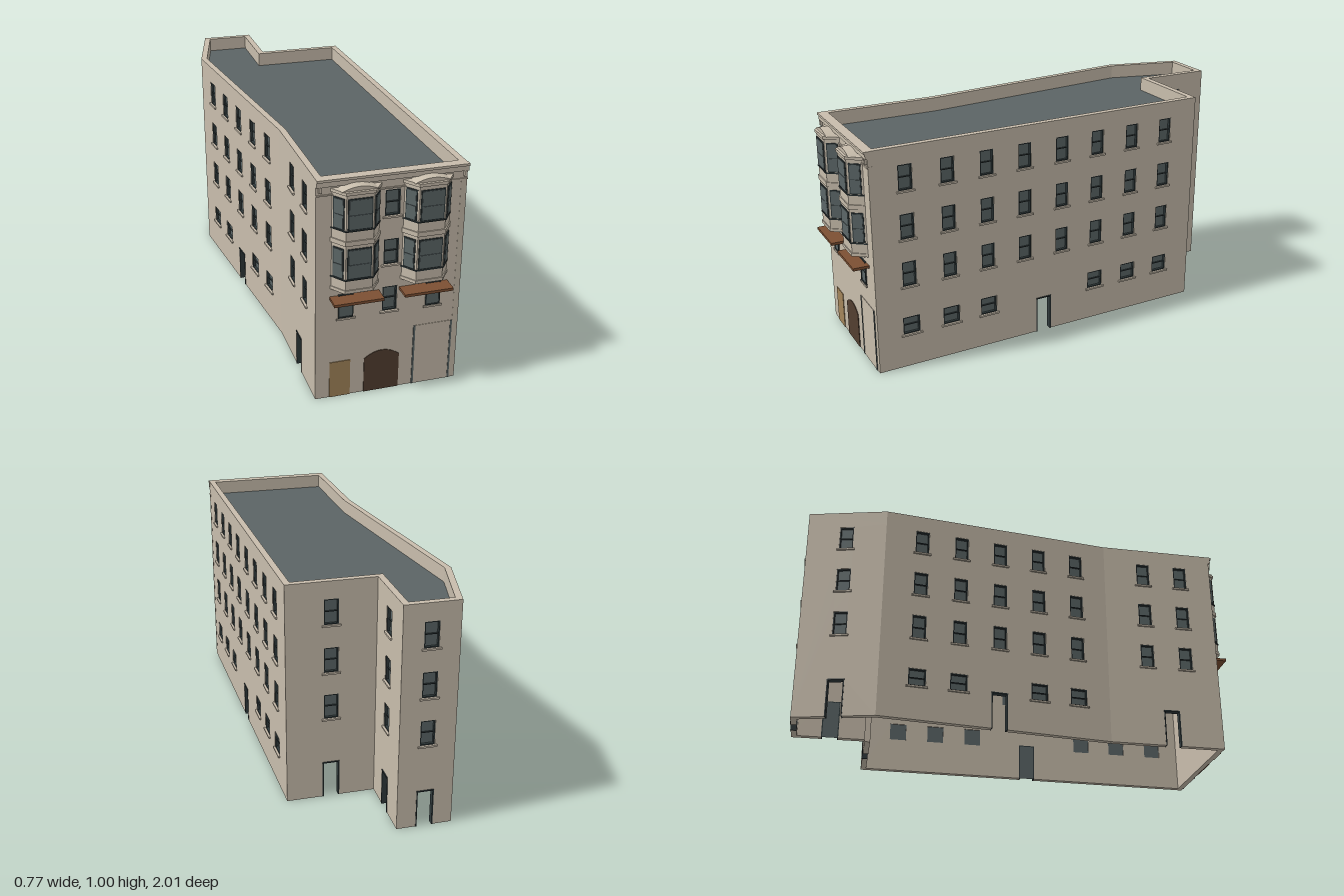
import * as THREE from 'three';

const mat = (name, color, side = THREE.FrontSide) =>
  Object.assign(new THREE.MeshStandardMaterial({ color, side }), { name });

const T = 0.025;        // wall thickness
const ROOF = 0.935;     // roof deck height
const FLOORS = [0.38, 0.595, 0.81];

export function createModel() {
  const wall = mat('stone wall', 0xc8bdac);
  const slate = mat('slate glass', 0x5b6667);
  const deck = mat('roof deck', 0x5b6465, THREE.DoubleSide);
  const dark = mat('dark frame', 0x2f393b);
  const tan = mat('tan door', 0xa3855a);
  const brown = mat('dark brown door', 0x523e30);
  const wood = mat('awning wood', 0x7d5033);

  const model = new THREE.Group();
  model.name = 'cornerBuilding';

  const add = (parent, name, geo, material) => {
    const m = new THREE.Mesh(geo, material);
    m.name = name;
    parent.add(m);
    return m;
  };
  // Box given by its lower and upper corners
  const box = (parent, name, material, x0, x1, y0, y1, z0, z1) =>
    add(parent, name, new THREE.BoxGeometry(x1 - x0, y1 - y0, z1 - z0), material)
      .position.set((x0 + x1) / 2, (y0 + y1) / 2, (z0 + z1) / 2);
  const planShape = (pts) => new THREE.Shape(pts.map(([x, z]) => new THREE.Vector2(x, -z)));
  // Horizontal slab from a plan outline
  const slab = (parent, name, material, shape, y0, y1) => {
    const g = new THREE.ExtrudeGeometry(shape, { depth: y1 - y0, bevelEnabled: false });
    g.rotateX(-Math.PI / 2).translate(0, y0, 0);
    return add(parent, name, g, material);
  };

  // Footprint corners (x, z), starting along the front
  const plan = [[-0.245, 0.93], [0.375, 0.93], [0.33, -0.68], [-0.06, -0.68],
    [-0.06, -1], [-0.3, -1], [-0.385, -0.65], [-0.25, 0.4]];
  const normal = (i) => {
    const [a, b] = [plan[i], plan[(i + 1) % plan.length]];
    const d = [b[0] - a[0], b[1] - a[1]], l = Math.hypot(...d);
    return [-d[1] / l, d[0] / l];
  };
  const inner = plan.map(([x, z], i) => {
    const m = normal((i + plan.length - 1) % plan.length), n = normal(i);
    const k = (T + 0.003) / (1 + m[0] * n[0] + m[1] * n[1]);
    return [x - k * (m[0] + n[0]), z - k * (m[1] + n[1])];
  });

  // Recessed sash window with sill, in wall coordinates
  function sashWindow(g, u, y, w, h) {
    const x0 = u - w / 2, x1 = u + w / 2, b = 0.005;
    box(g, 'windowGlass', slate, x0, x1, y, y + h, -0.02, -0.014);
    for (const x of [x0, x1 - b]) box(g, 'windowJamb', dark, x, x + b, y, y + h, -0.014, -0.002);
    for (const yy of [y, y + h - b]) box(g, 'windowRail', dark, x0, x1, yy, yy + b, -0.014, -0.002);
    box(g, 'meetingRail', dark, x0, x1, y + h / 2 - 0.002, y + h / 2 + 0.002, -0.014, -0.008);
    box(g, 'windowSill', wall, x0 - 0.009, x1 + 0.009, y - 0.008, y, -0.01, 0.008);
  }

  // Open doorway with dark jambs and a leaf facing indoors
  function doorway(g, u, w, h) {
    const x0 = u - w / 2, x1 = u + w / 2, b = 0.005;
    for (const x of [x0, x1 - b]) box(g, 'doorJamb', dark, x, x + b, 0, h, -T, 0.002);
    box(g, 'doorHead', dark, x0, x1, h - b, h, -T, 0.004);
    add(g, 'doorLeaf', new THREE.PlaneGeometry(w, h).rotateY(Math.PI).translate(u, h / 2, -T), slate);
  }

  // One wall: windows on three floors, low ground windows and doors, at fractions along it
  function buildWall(i, name, { cols = [], low = [], doors = [] }) {
    const [a, b] = [plan[i], plan[(i + 1) % plan.length]];
    const L = Math.hypot(b[0] - a[0], b[1] - a[1]);
    const g = new THREE.Group();
    g.name = name;
    g.position.set(a[0], 0, a[1]);
    g.rotation.y = Math.atan2(a[1] - b[1], b[0] - a[0]);
    const dw = 0.075, dh = 0.17;
    const s = new THREE.Shape();
    s.moveTo(0, 0);
    for (const t of doors) {
      s.lineTo(t * L - dw / 2, 0);
      s.lineTo(t * L - dw / 2, dh);
      s.lineTo(t * L + dw / 2, dh);
      s.lineTo(t * L + dw / 2, 0);
      doorway(g, t * L, dw, dh);
    }
    s.lineTo(L, 0);
    s.lineTo(L, ROOF);
    s.lineTo(0, ROOF);
    const wins = [
      ...cols.flatMap((t) => FLOORS.map((y) => [t * L, y, 0.063, 0.112])),
      ...low.map((t) => [t * L, 0.155, 0.078, 0.08])];
    for (const [u, y, w, h] of wins) {
      const p = new THREE.Path();
      p.moveTo(u - w / 2, y);
      p.lineTo(u - w / 2, y + h);
      p.lineTo(u + w / 2, y + h);
      p.lineTo(u + w / 2, y);
      s.holes.push(p);
      sashWindow(g, u, y, w, h);
    }
    const geo = new THREE.ExtrudeGeometry(s, { depth: T, bevelEnabled: false }).translate(0, 0, -T);
    add(g, name + 'Panel', geo, wall);
    model.add(g);
    return g;
  }

  const alongRight = (z) => (0.93 - z) / 1.61;
  const front = buildWall(0, 'frontWall', { cols: [0.505] });
  buildWall(1, 'rightWall', {
    cols: [0.775, 0.587, 0.405, 0.222, 0.035, -0.147, -0.33, -0.512].map(alongRight),
    low: [0.775, 0.587, 0.405, -0.147, -0.33, -0.512].map(alongRight),
    doors: [alongRight(0.126)] });
  buildWall(2, 'notchBackWall', { cols: [0.5], doors: [0.5] });
  buildWall(3, 'notchSideWall', { cols: [0.48], doors: [0.48] });
  buildWall(4, 'backWall', { cols: [0.5], doors: [0.5] });
  buildWall(5, 'rearLeftWall', { cols: [0.5], doors: [0.5] });
  buildWall(6, 'longLeftWall', {
    cols: [0.16, 0.335, 0.51, 0.685, 0.86], low: [0.16, 0.335, 0.685, 0.86], doors: [0.51] });
  buildWall(7, 'frontLeftWall', { cols: [0.36, 0.71], doors: [0.55] });

  // Roof deck and parapet
  const ring = planShape(plan);
  ring.holes.push(new THREE.Path(inner.map(([x, z]) => new THREE.Vector2(x, -z))));
  slab(model, 'parapet', wall, ring, ROOF, 1);
  add(model, 'roofDeck', new THREE.ShapeGeometry(planShape(plan.map(([x, z], i) =>
    [(x + inner[i][0]) / 2, (z + inner[i][1]) / 2]))).rotateX(-Math.PI / 2).translate(0, ROOF + 0.002, 0), deck);

  // Front cornice with end brackets
  box(model, 'corniceTop', wall, -0.245, 0.377, 0.99, 1, 0.92, 0.946);
  box(model, 'corniceBand', wall, -0.245, 0.377, 0.968, 0.99, 0.92, 0.94);
  box(model, 'corniceFoot', wall, -0.245, 0.376, 0.928, 0.934, 0.92, 0.934);
  for (const x of [-0.229, 0.364])
    box(model, 'corniceBracket', wall, x - 0.006, x + 0.006, 0.944, 0.968, 0.93, 0.941);

  // First-floor outer windows, set in shallow surrounds on the front
  for (const x of [-0.12, 0.254]) {
    const w = new THREE.Group();
    w.name = 'lowerFrontWindow';
    w.position.set(x, 0, 0.951);
    sashWindow(w, 0, 0.38, 0.063, 0.11);
    w.position.z = 0.93 + 0.004;
    w.scale.z = 0.3;
    w.children.forEach((c) => { c.position.z += 0.02; });
    model.add(w);
  }

  // Bay windows, each two storeys with corbels, bands and a curved top
  const bayPlan = (o) => planShape([[-0.0975 - o, -0.01], [-0.0975 - o, 0], [-0.056 - o * 0.6, 0.055 + o],
    [0.056 + o * 0.6, 0.055 + o], [0.0975 + o, 0], [0.0975 + o, -0.01]]);
  function bayPane(g, x, z, turn, w, y, h) {
    const p = new THREE.Group();
    p.name = 'bayPane';
    p.position.set(x, y, z);
    p.rotation.y = turn;
    box(p, 'bayFrame', dark, -w / 2, w / 2, 0, h, 0, 0.003);
    const b = 0.005, mid = h * 0.48;
    box(p, 'bayLowerGlass', slate, -w / 2 + b, w / 2 - b, b, mid - 0.001, 0.002, 0.005);
    box(p, 'bayUpperGlass', slate, -w / 2 + b, w / 2 - b, mid + 0.001, h - b, 0.002, 0.005);
    g.add(p);
  }
  for (const x of [-0.083, 0.212]) {
    const bay = new THREE.Group();
    bay.name = 'bayWindow';
    bay.position.set(x, 0, 0.93);
    slab(bay, 'bayBody', wall, bayPlan(0), 0.53, 0.95);
    const bands = [[0.503, 0.512, -0.035], [0.512, 0.52, -0.018], [0.52, 0.534, 0.004],
      [0.73, 0.75, 0.005], [0.945, 0.958, 0.006]];
    for (const [y0, y1, o] of bands) slab(bay, 'bayBand', wall, bayPlan(o), y0, y1);
    const turn = Math.atan2(0.055, 0.0415);
    for (const y of [0.583, 0.797]) {
      slab(bay, 'baySill', dark, bayPlan(0.004), y - 0.007, y - 0.002);
      bayPane(bay, 0, 0.055, 0, 0.1, y, 0.132);
      for (const s of [-1, 1]) bayPane(bay, s * 0.0768, 0.0275, s * turn, 0.052, y, 0.132);
    }
    const arc = new THREE.Shape();
    arc.moveTo(-0.075, 0.957);
    arc.lineTo(0.075, 0.957);
    arc.quadraticCurveTo(0, 0.994, -0.075, 0.957);
    add(bay, 'bayCurvedTop', new THREE.ExtrudeGeometry(arc, { depth: 0.05, bevelEnabled: false, curveSegments: 12 }), wall);
    model.add(bay);
    // Wooden awning below the bay
    box(model, 'awning', wood, x - 0.104, x + 0.104, 0.471, 0.483, 0.93, 1);
  }

  // Street-level doors
  box(model, 'tanDoor', tan, -0.184, -0.095, 0, 0.17, 0.926, 0.933);
  const arch = new THREE.Shape();
  arch.moveTo(-0.035, 0);
  arch.lineTo(0.118, 0);
  arch.lineTo(0.118, 0.163);
  arch.quadraticCurveTo(0.0415, 0.224, -0.035, 0.163);
  add(model, 'archedDoor', new THREE.ExtrudeGeometry(arch, { depth: 0.007, bevelEnabled: false, curveSegments: 16 })
    .translate(0, 0, 0.926), brown);
  box(model, 'garageShutter', wall, 0.18, 0.347, 0, 0.286, 0.926, 0.932);
  for (const x of [0.178, 0.341])
    box(model, 'garageJamb', slate, x, x + 0.008, 0, 0.286, 0.926, 0.934);
  return model;
}
